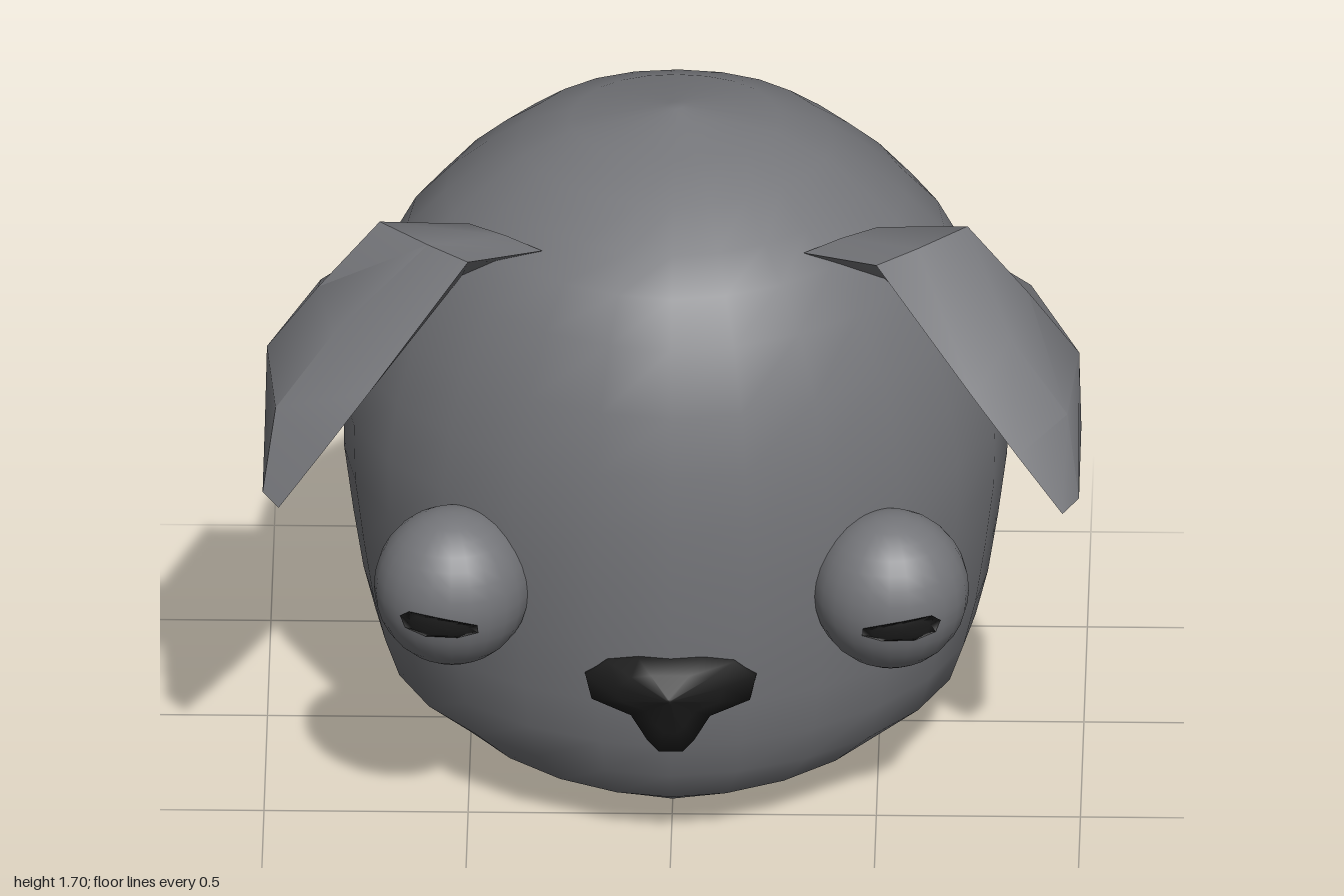
import * as THREE from 'three';
import { toCreasedNormals } from 'three/addons/utils/BufferGeometryUtils.js';

const grey = new THREE.MeshStandardMaterial({ color: 0x747579 });
grey.name = 'grey';
const black = new THREE.MeshStandardMaterial({ color: 0x1b1b1b });
black.name = 'black';

// Skin a list of equal-sized point loops and close both ends with a fan
function loft(rings) {
  const n = rings[0].length;
  const center = (ring) => [0, 1, 2].map((k) => ring.reduce((s, p) => s + p[k], 0) / n);
  const last = rings.length - 1;
  const points = [...rings.flat(), center(rings[0]), center(rings[last])];
  const start = rings.length * n;
  const index = [];
  for (let i = 0; i < n; i++) {
    const k = (i + 1) % n;
    for (let j = 0; j < last; j++) {
      const a = j * n + i, b = j * n + k;
      index.push(a, b, b + n, a, b + n, a + n);
    }
    index.push(start, k, i, start + 1, last * n + i, last * n + k);
  }
  const geometry = new THREE.BufferGeometry();
  geometry.setAttribute('position', new THREE.Float32BufferAttribute(points.flat(), 3));
  geometry.setIndex(index);
  geometry.computeVertexNormals();
  return geometry;
}

// Mirror loops across x, reversing them so faces still point outwards
const mirrorRings = (rings, side) =>
  side > 0 ? rings : rings.map((r) => r.map(([x, y, z]) => [-x, y, z]).reverse());

// Shrink an outline towards a centre in steps, lifting each point onto a surface
const patchRings = (outline, cx, cy, scales, depth) =>
  scales.map((s) => outline.map(([px, py]) => {
    const x = cx + (px - cx) * s, y = cy + (py - cy) * s;
    return [x, y, depth(x, y, s)];
  }));

function headGeometry() {
  // height, half width, front depth, back depth
  const rows = [
    [0.003, 0.02, 0.02, 0.05], [0.045, 0.33, 0.5, 0.39], [0.12, 0.58, 0.635, 0.57],
    [0.2, 0.7, 0.675, 0.71], [0.3, 0.735, 0.715, 0.785], [0.42, 0.765, 0.735, 0.805],
    [0.58, 0.79, 0.75, 0.805], [0.75, 0.812, 0.755, 0.785], [0.9, 0.815, 0.75, 0.75],
    [1.05, 0.79, 0.735, 0.695], [1.2, 0.745, 0.7, 0.64], [1.36, 0.66, 0.645, 0.57],
    [1.46, 0.565, 0.565, 0.52], [1.53, 0.48, 0.47, 0.465], [1.6, 0.385, 0.34, 0.38],
    [1.655, 0.26, 0.21, 0.25], [1.7, 0.02, 0.02, 0.02],
  ];
  const sides = 24;
  return loft(rows.map(([y, w, front, back]) =>
    Array.from({ length: sides }, (_, i) => {
      const a = (i / sides) * Math.PI * 2, s = Math.sin(a), c = Math.cos(a);
      const e = 2 / (c > 0 ? 1.85 : 2.1);
      return [
        w * Math.sign(s) * Math.abs(s) ** e,
        y,
        (c > 0 ? front : back) * Math.sign(c) * Math.abs(c) ** e,
      ];
    })));
}

function earGeometry(side) {
  // each loop: front edge, hollow underside, back edge, outer side, outer front
  const rings = [
    [[0.32, 1.5, 0.39], [0.4, 1.4, 0.25], [0.55, 1.36, 0.1], [0.5, 1.5, 0.25], [0.41, 1.51, 0.33]],
    [[0.5, 1.53, 0.51], [0.52, 1.38, 0.3], [0.7, 1.4, 0.13], [0.72, 1.53, 0.3], [0.6, 1.53, 0.42]],
    [[0.74, 1.25, 0.67], [0.68, 1.22, 0.34], [0.8, 1.28, 0.04], [0.87, 1.38, 0.36], [0.83, 1.34, 0.53]],
    [[0.85, 1.12, 0.73], [0.77, 1.12, 0.36], [0.82, 1.12, -0.03], [0.995, 1.22, 0.37], [0.97, 1.17, 0.6]],
    [[0.96, 0.97, 0.745], [0.82, 1.08, 0.36], [0.81, 0.95, -0.08], [1, 1.01, 0.36], [1, 0.99, 0.7]],
  ];
  // broaden the back of the flap
  rings[3][2] = [0.87, 1.19, -0.04];
  return toCreasedNormals(loft(mirrorRings(rings, side)), 0.75);
}

export function createModel() {
  const model = new THREE.Group();
  model.name = 'dogHead';
  const add = (name, geometry, material) => {
    const mesh = new THREE.Mesh(geometry, material);
    mesh.name = name;
    model.add(mesh);
    return mesh;
  };

  add('head', headGeometry(), grey);

  // Nose: wide top tapering to a short stem
  const half = [[0.03, 0.295], [0.06, 0.33], [0.1, 0.4], [0.2, 0.435], [0.215, 0.5], [0.16, 0.55], [0.08, 0.565]];
  const outline = [...half, ...half.map(([x, y]) => [-x, y]).reverse()];
  const noseDepth = (x, y, s) =>
    s === 1 ? 0.67 : 0.8 - 0.045 * s - 0.9 * x * x - 0.12 * Math.max(0, 0.45 - y);
  add('nose', loft(patchRings(outline, 0, 0.47, [1, 0.97, 0.6, 0.05], noseDepth)), black);

  // Eyes, narrow pupils and floppy ears
  const eye = new THREE.Vector3(0.537, 0.69, 0.61);
  const radius = new THREE.Vector3(0.192, 0.2, 0.185);
  const slit = [[0.47, 0.65], [0.52, 0.64], [0.6, 0.638], [0.65, 0.65], [0.662, 0.68],
    [0.64, 0.7], [0.57, 0.697], [0.51, 0.685], [0.472, 0.672]];
  const onEye = (x, y) => eye.z + 0.006 + radius.z * Math.sqrt(
    1 - ((x - eye.x) / radius.x) ** 2 - ((y - eye.y) / radius.y) ** 2);
  for (const side of [1, -1]) {
    const label = side > 0 ? 'left' : 'right';
    const ball = add(label + 'Eye', new THREE.SphereGeometry(1, 24, 16), grey);
    ball.position.set(side * eye.x, eye.y, eye.z);
    ball.scale.copy(radius);
    const pupil = patchRings(slit, 0.565, 0.668, [1, 0.75, 0.5, 0.25, 0.02], onEye);
    add(label + 'Pupil', loft(mirrorRings(pupil, side)), black);
    add(label + 'Ear', earGeometry(side), grey);
  }
  return model;
}
